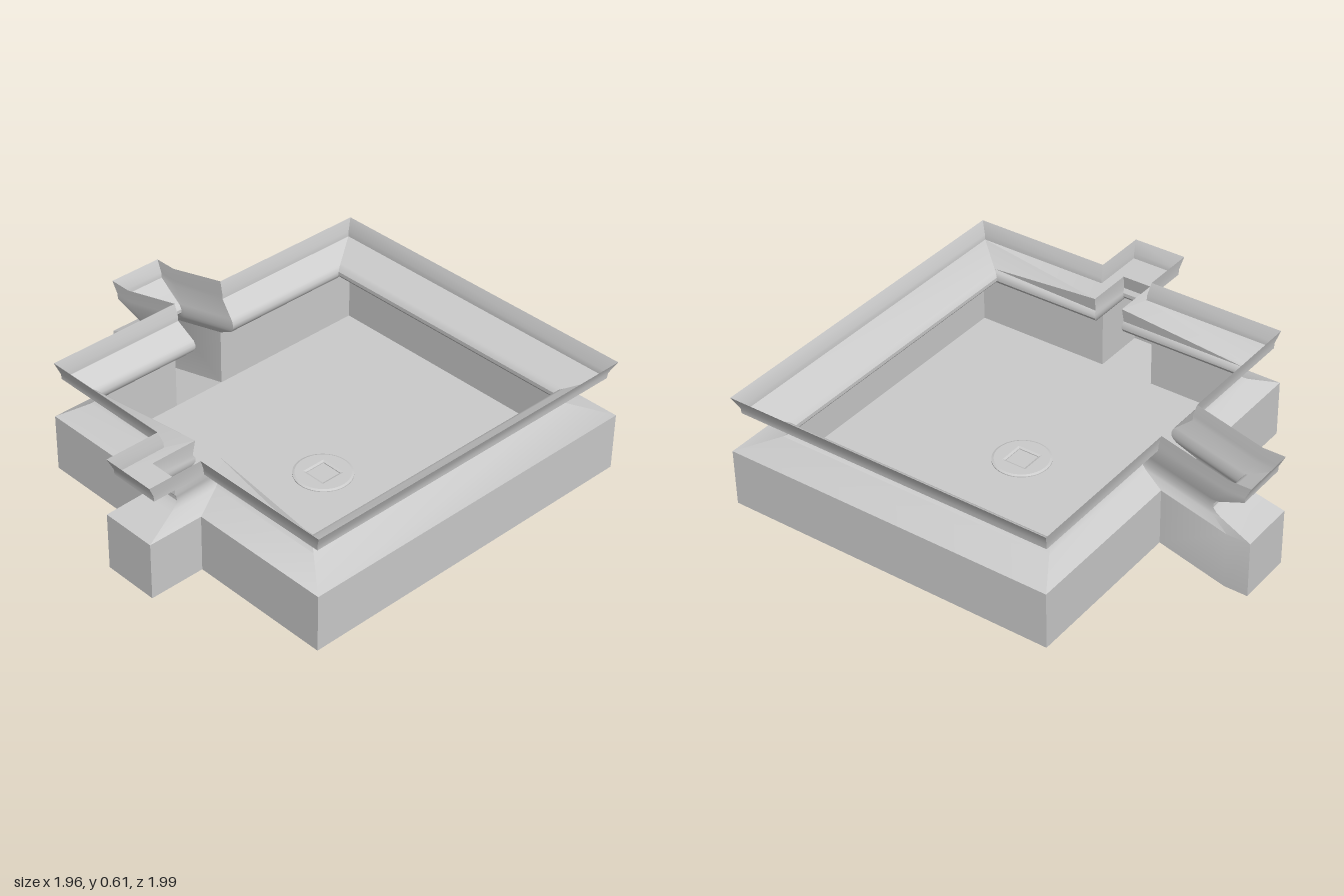
import * as THREE from 'three';
import { toCreasedNormals } from 'three/addons/utils/BufferGeometryUtils.js';

const material = new THREE.MeshStandardMaterial({ color: 0xcccccc, side: THREE.DoubleSide });

// Wall profile as [inset 0..1, height]: upright base, sloped shoulder, rounded throat, flare, lip
const lower = [[0, 0.08], [0, 0.345], [0.8, 0.398], [0.93, 0.412], [1, 0.428], [1, 0.445], [0.93, 0.463]];
const lip = [[0.2, 0.53], [0.19, 0.555], [0.05, 0.61]];
const flaredProfile = [...lower, [0.85, 0.47], ...lip];
// The side spout ends its throat in a level shelf
const shelfProfile = [...lower, [1, 0.53], ...lip];

// Plan outline: outer x, z; throat x, z; drop; shelf
const stations = [
  [0.98, 0.99, 0.8, 0.8, 0, false],
  [-0.72, 0.99, -0.57, 0.8, 0, false],
  [-0.72, 0.33, -0.57, 0.27, 0, true],
  [-0.98, 0.33, -0.79, 0.27, 0, true],
  [-0.98, 0.07, -0.79, 0.13, 0, true],
  [-0.72, 0.07, -0.57, 0.13, 0, true],
  [-0.72, -0.58, -0.57, -0.47, 0, false],
  [-0.065, -0.58, -0.045, -0.47, 0, false],
  [-0.065, -0.89, -0.04, -0.79, 0.08, false],
  [-0.065, -1, -0.04, -0.81, 0.08, false],
  [0.195, -1, 0.17, -0.81, 0.08, false],
  [0.195, -0.89, 0.17, -0.79, 0.08, false],
  [0.195, -0.58, 0.17, -0.47, 0, false],
  [0.98, -0.58, 0.8, -0.47, 0, false],
];

function surface(positions, index) {
  const g = new THREE.BufferGeometry();
  g.setAttribute('position', new THREE.Float32BufferAttribute(positions, 3));
  g.setIndex(index);
  return toCreasedNormals(g, 0.55);
}

// Loft the wall profile around the outline
function wallGeometry() {
  const positions = [], index = [];
  const n = stations.length, m = flaredProfile.length;
  stations.forEach(([ox, oz, ix, iz, drop, shelf], i) => {
    for (const [t, y] of shelf ? shelfProfile : flaredProfile) {
      positions.push(ox + (ix - ox) * t, y - drop, oz + (iz - oz) * t);
    }
    for (let j = 0; j < m - 1; j++) {
      const a = i * m + j, b = ((i + 1) % n) * m + j;
      index.push(a, a + 1, b, b, a + 1, b + 1);
    }
  });
  return surface(positions, index);
}

// Floor rectangle from z0 (height y0) to z1 (height y1), facing down
function floorGeometry(x0, x1, z0, z1, y0, y1) {
  return surface([x0, y0, z0, x1, y0, z0, x1, y1, z1, x0, y1, z1], [0, 1, 2, 0, 2, 3]);
}

export function createModel() {
  const model = new THREE.Group();
  const add = (name, geometry, x = 0, y = 0, z = 0) => {
    const mesh = new THREE.Mesh(geometry, material);
    mesh.name = name;
    mesh.position.set(x, y, z);
    model.add(mesh);
    return mesh;
  };

  add('basinWall', wallGeometry());

  // Floors of the basin and its two spouts
  add('basinFloor', floorGeometry(-0.72, 0.98, -0.58, 0.99, 0.08, 0.08));
  add('sideSpoutFloor', floorGeometry(-0.98, -0.72, 0.07, 0.33, 0.08, 0.08));
  add('backSpoutRamp', floorGeometry(-0.065, 0.195, -0.89, -0.58, 0, 0.08));
  add('backSpoutEnd', floorGeometry(-0.065, 0.195, -1, -0.89, 0, 0));

  // Low round drain plate with a square socket
  const plate = new THREE.Shape().absarc(0, 0, 0.12, 0, Math.PI * 2, false);
  const half = 0.06;
  plate.holes.push(new THREE.Path([[-half, -half], [-half, half], [half, half], [half, -half]]
    .map(([x, y]) => new THREE.Vector2(x, y))));
  const plateGeometry = new THREE.ExtrudeGeometry(plate, {
    depth: 0.004, bevelThickness: 0.004, bevelSize: 0.01, bevelSegments: 1, curveSegments: 32,
  });
  plateGeometry.rotateX(-Math.PI / 2);
  add('drainPlate', plateGeometry, 0.063, 0.083, 0.205);

  return model;
}
